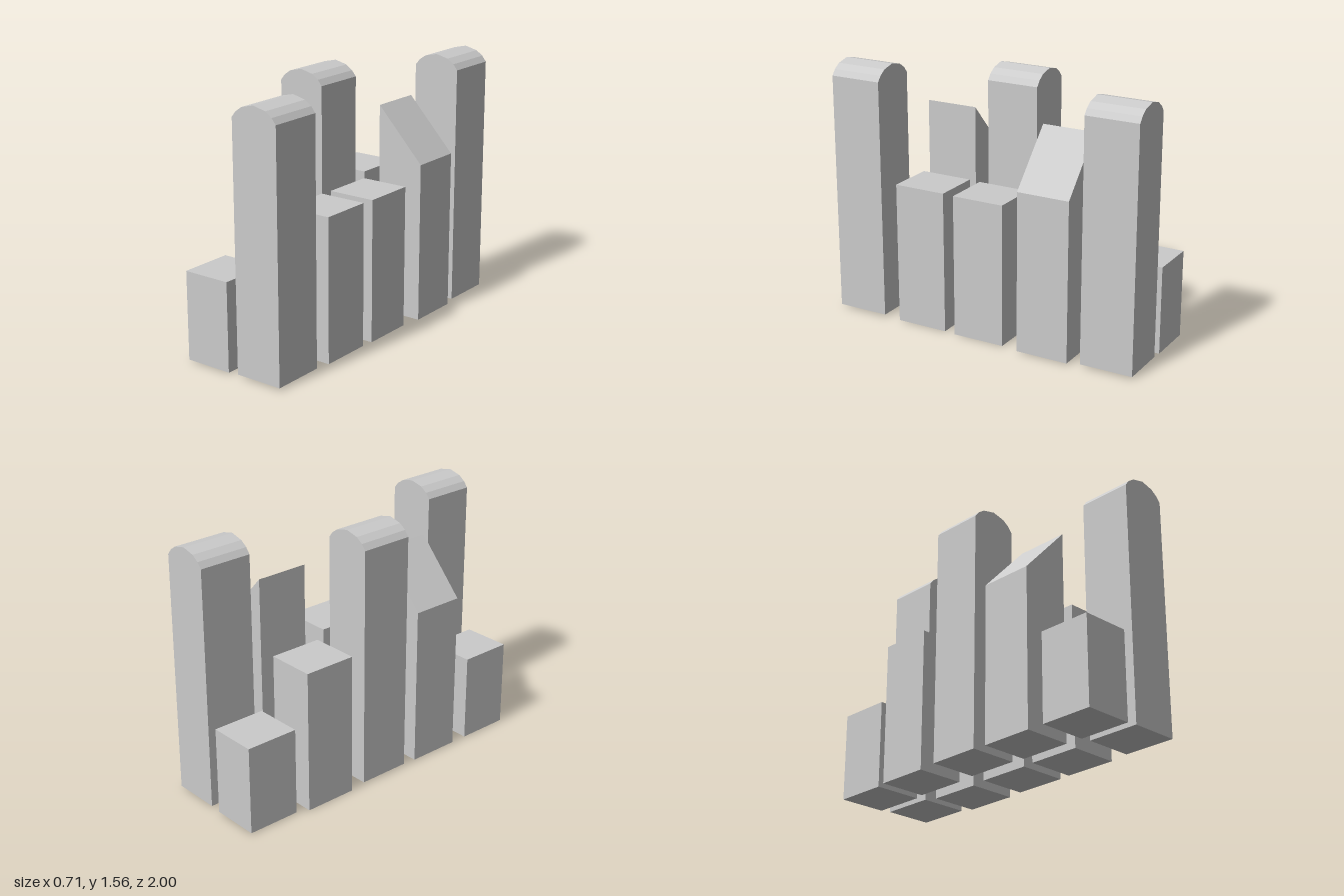
import * as THREE from 'three';

const W = 0.298, D = 0.326, H = W / 2;
const material = new THREE.MeshStandardMaterial({ color: 0xcccccc, flatShading: true });

// Front outlines of the four kinds of tower, centred on x = 0
const block = (base, top) => [[-H, base], [H, base], [H, top], [-H, top]];
const profiles = {
  lowBlock: block(0.005, 0.54),
  midBlock: block(0, 0.87),
  // roof rises towards +x
  slantedTower: [[-H, 0.006], [H, 0.006], [H, 1.3], [-H, 0.98]],
  // shallow faceted barrel roof
  archedTower: [
    [-H, 0.012], [H, 0.012], [H, 1.475], [0.122, 1.509], [0.08, 1.538],
    [0, 1.557], [-0.08, 1.538], [-0.122, 1.509], [-H, 1.475],
  ],
};

function towerGeometry(points, mirrored) {
  const pts = points.map(([x, y]) => new THREE.Vector2(mirrored ? -x : x, y));
  const geometry = new THREE.ExtrudeGeometry(new THREE.Shape(pts), { depth: D, bevelEnabled: false });
  return geometry.translate(0, 0, -D / 2);
}

// Kind, centre x, centre z: two uneven rows of five
const layout = [
  ['lowBlock', -0.199, 0.837], ['archedTower', 0.166, 0.837],
  ['slantedTower', -0.2, 0.403], ['midBlock', 0.166, 0.403],
  ['archedTower', -0.2, -0.012], ['midBlock', 0.174, 0.004],
  ['midBlock', -0.207, -0.438], ['slantedTower', 0.203, -0.436],
  ['lowBlock', -0.181, -0.837], ['archedTower', 0.184, -0.837],
];

export function createModel() {
  const group = new THREE.Group();
  group.name = 'towers';
  for (const [kind, x, z] of layout) {
    // slanted roofs peak towards the middle aisle
    const mesh = new THREE.Mesh(towerGeometry(profiles[kind], x > 0), material);
    mesh.name = kind;
    mesh.position.set(x, 0, z);
    group.add(mesh);
  }
  return group;
}
